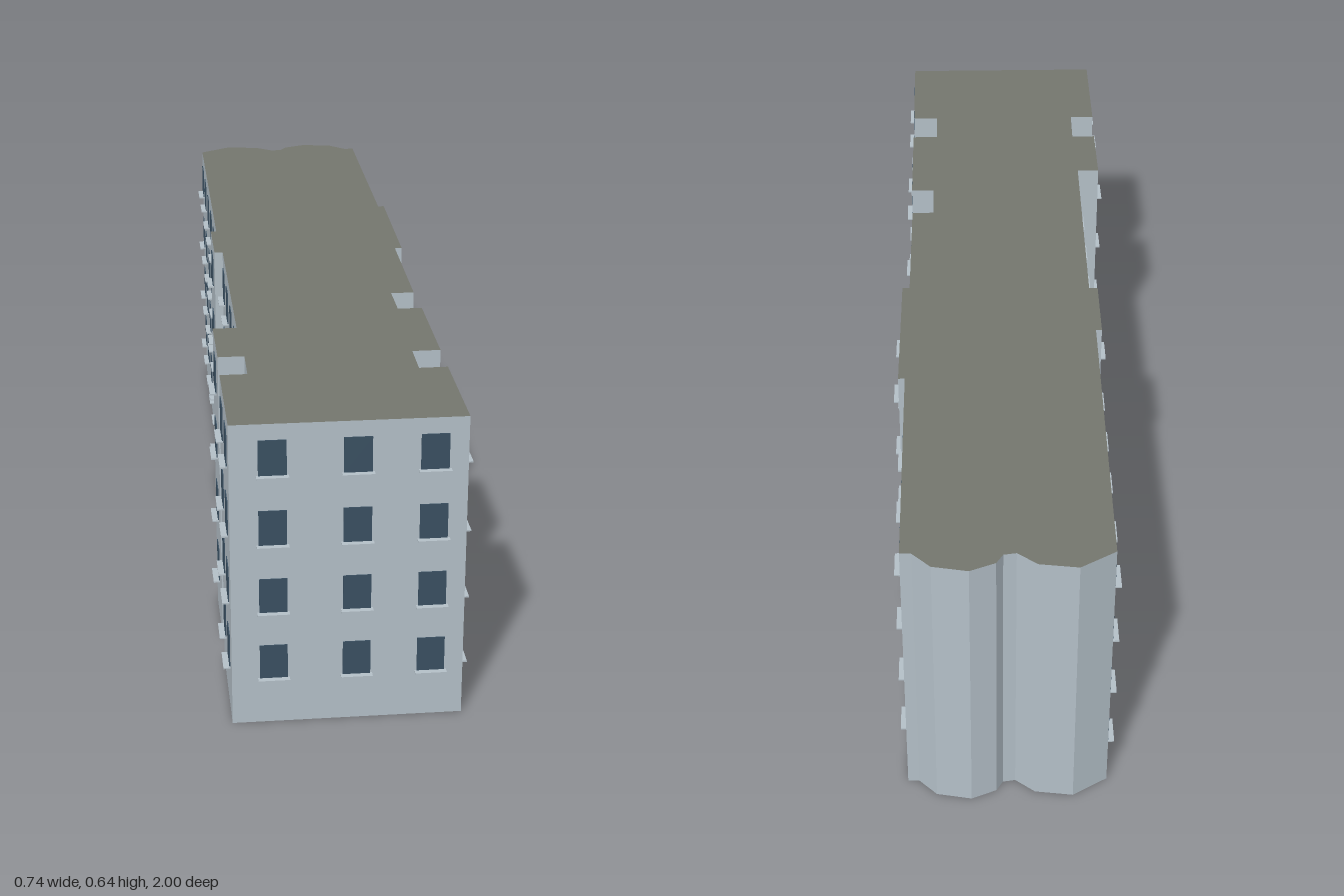
import * as THREE from 'three';

const HEIGHT = 0.645;
const FLOORS = [0.1, 0.246, 0.392, 0.539]; // window sill heights
const WIN_W = 0.055, WIN_H = 0.073;

// Footprint corners [x, z, windows]; windows lie on the wall that starts at the
// corner, given by z (or by x on the front wall).
const OUTLINE = [
  // scalloped back
  [-0.36, -0.905], [-0.295, -0.96], [-0.215, -0.962], [-0.17, -0.937], [-0.145, -0.945],
  [-0.135, -0.97], [-0.087, -1], [-0.013, -0.998], [0.03, -0.967],
  // right side, back to front
  [0.053, -0.97, [-0.885, -0.73, -0.57]], [0.141, -0.424],
  [0.155, -0.427, [-0.34, -0.175]], [0.207, -0.09],
  [0.191, -0.087, [-0.01, 0.15]], [0.24, 0.225],
  [0.19, 0.233], [0.207, 0.333],
  [0.259, 0.325, [0.393, 0.52]], [0.3, 0.577],
  [0.242, 0.587], [0.257, 0.68],
  [0.315, 0.67, [0.74, 0.865]],
  // front
  [0.357, 0.922, [0.293, 0.147, -0.015]],
  // left side, front to back
  [-0.097, 0.996, [0.92, 0.8]], [-0.139, 0.744],
  [-0.084, 0.735], [-0.099, 0.638],
  [-0.153, 0.647, [0.555]], [-0.181, 0.482],
  [-0.131, 0.474, [0.4, 0.27, 0.14, 0.012]], [-0.213, -0.031],
  [-0.232, -0.028, [-0.12]], [-0.258, -0.188],
  [-0.245, -0.19, [-0.308, -0.445, -0.58, -0.73, -0.86]],
];

export function createModel() {
  const group = new THREE.Group();
  const wallMat = new THREE.MeshStandardMaterial({ color: 0xb4c0c8 });
  const roofMat = new THREE.MeshStandardMaterial({ color: 0x74766e });
  const glassMat = new THREE.MeshStandardMaterial({ color: 0x3a5062 });

  // Building body: caps in roof colour, sides in wall colour
  const shape = new THREE.Shape(OUTLINE.map(([x, z]) => new THREE.Vector2(x, -z)));
  const bodyGeo = new THREE.ExtrudeGeometry(shape, { depth: HEIGHT, bevelEnabled: false });
  bodyGeo.rotateX(-Math.PI / 2);
  const body = new THREE.Mesh(bodyGeo, [roofMat, wallMat]);
  body.name = 'buildingBody';
  group.add(body);

  // Windows and thin sills on every floor
  const glassGeo = new THREE.BoxGeometry(WIN_W, WIN_H, 0.004);
  const sillGeo = new THREE.BoxGeometry(WIN_W + 0.008, 0.003, 0.014);
  sillGeo.translate(0, 0, 0.007);

  OUTLINE.forEach(([ax, az, windows = []], i) => {
    const [bx, bz] = OUTLINE[(i + 1) % OUTLINE.length];
    const dx = bx - ax, dz = bz - az;
    for (const at of windows) {
      const t = Math.abs(dx) > Math.abs(dz) ? (at - ax) / dx : (at - az) / dz;
      const column = new THREE.Group();
      column.name = 'windowColumn';
      column.position.set(ax + dx * t, 0, az + dz * t);
      column.rotation.y = Math.atan2(dz, -dx);
      for (const y of FLOORS) {
        const glass = new THREE.Mesh(glassGeo, glassMat);
        glass.name = 'window';
        glass.position.y = y + WIN_H / 2;
        const sill = new THREE.Mesh(sillGeo, wallMat);
        sill.name = 'windowSill';
        sill.position.y = y - 0.0015;
        column.add(glass, sill);
      }
      group.add(column);
    }
  });
  return group;
}
